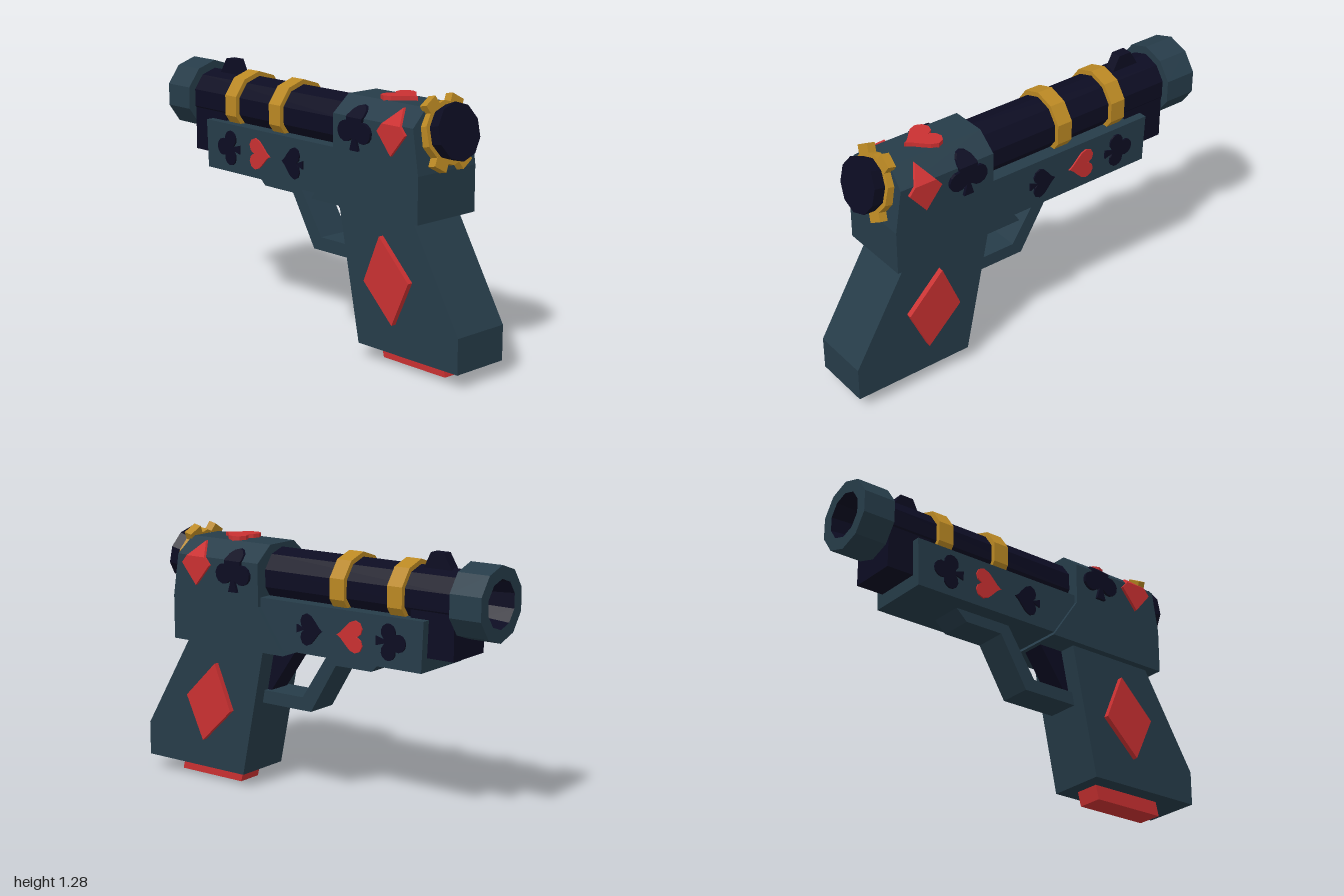
import * as THREE from 'three';

const mat = (name, color) => {
  const m = new THREE.MeshStandardMaterial({ color });
  m.name = name;
  return m;
};

export function createModel() {
  const slate = mat('slate', 0x263c49), navy = mat('navy', 0x0c0c22);
  const red = mat('red', 0xc93031), gold = mat('gold', 0xba8823);
  const model = new THREE.Group();
  model.name = 'toyPistol';

  // Adds a faceted mesh
  const add = (name, geo, material, parent = model) => {
    const g = geo.index ? geo.toNonIndexed() : geo;
    g.computeVertexNormals();
    const mesh = new THREE.Mesh(g, material);
    mesh.name = name;
    parent.add(mesh);
    return mesh;
  };
  const extrude = (pts, depth) => new THREE.ExtrudeGeometry(
    new THREE.Shape(pts.map(p => new THREE.Vector2(p[0], p[1]))), { depth, bevelEnabled: false });
  // Side profile in (z, y), centred across x
  const slab = (name, pts, halfWidth, material) =>
    add(name, extrude(pts, halfWidth * 2).rotateY(-Math.PI / 2).translate(halfWidth, 0, 0), material);
  // Ten-sided cylinder along z
  const rod = (rBack, rFront, z0, z1, y = 0) =>
    new THREE.CylinderGeometry(rBack, rFront, z1 - z0, 10).rotateX(Math.PI / 2).translate(0, y, (z0 + z1) / 2);

  // Grip and magazine base
  slab('grip', [[0.71, 0.73], [1, 0.24], [1, 0.07], [0.375, 0.07], [0.24, 0.73]], 0.15, slate);
  slab('magazineBase', [[0.83, 0.08], [0.85, 0], [0.46, 0], [0.44, 0.08]], 0.066, red);

  // Receiver: lower block and chamfered upper block with a sloping back
  slab('receiverLower', [[0.78, 0.72], [0.78, 0.94], [0.24, 0.94], [0.09, 0.72]], 0.187, slate);
  const BEND = 1.15, SLOPE = 1.2;
  const upper = extrude([[-0.187, 0.94], [0.187, 0.94], [0.187, BEND], [0.09, 1.23], [-0.09, 1.23], [-0.187, BEND]], 0.54)
    .translate(0, 0, 0.24);
  const up = upper.attributes.position;
  for (let i = 0; i < up.count; i++)
    if (up.getZ(i) > 0.5) up.setZ(i, 0.78 - (up.getY(i) - 0.94) * 0.16);
  add('receiverUpper', upper, slate);

  // Frame rail, trigger guard and trigger
  slab('frameRail', [[0.24, 0.745], [0.24, 0.985], [-0.7, 0.985], [-0.69, 0.745]], 0.167, slate);
  slab('triggerGuard', [[0.32, 0.505], [0.05, 0.505], [-0.11, 0.75], [-0.42, 0.75], [-0.355, 0.69],
    [-0.15, 0.69], [0, 0.44], [0.32, 0.44]], 0.085, slate);
  slab('trigger', [[0.25, 0.73], [0.105, 0.73], [0.265, 0.5], [0.3, 0.5]], 0.06, navy);

  // Barrel, its front block, sight and bands
  const AXIS = 1.073;
  add('barrel', rod(0.137, 0.137, -0.85, 0.25, AXIS), navy);
  slab('barrelBlock', [[-0.6, 0.81], [-0.6, 1.07], [-0.835, 1.07], [-0.835, 0.81]], 0.125, navy);
  slab('frontSight', [[-0.6, 1.195], [-0.64, 1.275], [-0.71, 1.275], [-0.758, 1.195]], 0.027, navy);
  for (const z of [-0.205, -0.53]) add('barrelBand', rod(0.161, 0.161, z - 0.041, z + 0.041, AXIS), gold);

  // Hollow muzzle
  const lathe = pts => new THREE.LatheGeometry(pts.map(p => new THREE.Vector2(...p)), 10)
    .rotateX(-Math.PI / 2).translate(0, AXIS, 0);
  add('muzzle', lathe([[0, 0.835], [0.177, 0.835], [0.177, 1], [0.115, 1]]), slate);
  add('muzzleBore', lathe([[0.115, 1], [0.1, 0.87], [0, 0.87]]), navy);

  // Tilted rear cap with a toothed collar
  const cap = new THREE.Group();
  cap.name = 'rearCap';
  cap.position.set(0, 1.11, 0.77);
  cap.rotation.x = -0.215;
  model.add(cap);
  add('collar', rod(0.146, 0.146, -0.02, 0.02), gold, cap);
  for (const deg of [60, 120, 240, 300])
    add('collarTooth', new THREE.BoxGeometry(0.06, 0.075, 0.042).translate(0.147, 0, 0)
      .rotateZ(deg * Math.PI / 180), gold, cap);
  add('capKnob', rod(0.134, 0.124, 0.015, 0.082), navy, cap);

  // Unit card-suit outlines
  const arc = (cx, cy, r, a0, a1, n = 8) => Array.from({ length: n + 1 }, (_, i) => {
    const a = (a0 + (a1 - a0) * i / n) * Math.PI / 180;
    return [cx + r * Math.cos(a), cy + r * Math.sin(a)];
  });
  const diamond = [[0, 0.5], [-0.5, 0], [0, -0.5], [0.5, 0]];
  const club = [[0.13, -0.5], [0.05, -0.22], ...arc(0.27, -0.08, 0.24, -140, 99),
    ...arc(0, 0.25, 0.25, -22, 202), ...arc(-0.27, -0.08, 0.24, 81, 320), [-0.05, -0.22], [-0.13, -0.5]];
  const heart = Array.from({ length: 20 }, (_, i) => {
    const t = i / 20 * Math.PI * 2;
    return [Math.sin(t) ** 3 / 2,
      (13 * Math.cos(t) - 5 * Math.cos(2 * t) - 2 * Math.cos(3 * t) - Math.cos(4 * t) + 2.5) / 29];
  });
  const spade = [...heart.slice(1).map(([x, y]) => [x, 0.075 - y * 0.85]), [-0.13, -0.5], [0.13, -0.5]];

  const place = (pts, z, y, w, h, turned) => pts.map(([a, b]) =>
    turned ? [z - b * h, y + a * w] : [z + a * w, y + b * h]);
  // Keeps the part of an outline above (side 1) or below (side -1) the chamfer line
  const clip = (pts, side) => pts.flatMap((p, i) => {
    const q = pts[(i + 1) % pts.length], dp = (p[1] - BEND) * side, dq = (q[1] - BEND) * side;
    const out = dp >= 0 ? [p] : [];
    if (dp * dq < 0) out.push([p[0] + (q[0] - p[0]) * dp / (dp - dq), BEND]);
    return out;
  });
  // Raised plate on both flanks, folded over the chamfer where it is high enough
  const emblem = (name, pts, outer, depth, material) => {
    for (const offset of [outer, depth - outer]) {
      const g = extrude(pts, depth).rotateY(-Math.PI / 2).translate(offset, 0, 0);
      const p = g.attributes.position;
      for (let i = 0; i < p.count; i++) {
        const rise = p.getY(i) - BEND;
        if (rise > 0) p.setX(i, p.getX(i) - Math.sign(p.getX(i)) * rise * SLOPE);
      }
      add(name, g, material);
    }
  };

  // Emblems on grip, receiver and rail
  emblem('gripDiamond', [[0.53, 0.62], [0.433, 0.39], [0.615, 0.215], [0.717, 0.435]], 0.177, 0.035, red);
  for (const side of [1, -1]) {
    emblem('receiverDiamond', clip(place(diamond, 0.622, 1.113, 0.175, 0.21), side), 0.202, 0.03, red);
    emblem('receiverClub', clip(place(club, 0.388, 1.1, 0.205, 0.205), side), 0.202, 0.03, navy);
  }
  emblem('railSpade', place(spade, -0.06, 0.865, 0.155, 0.15, true), 0.175, 0.02, navy);
  emblem('railHeart', place(heart, -0.292, 0.867, 0.155, 0.148, true), 0.175, 0.02, red);
  emblem('railClub', place(club, -0.525, 0.867, 0.17, 0.165, true), 0.175, 0.02, navy);
  add('topHeart', extrude(heart.map(([x, y]) => [x * 0.19, y * 0.17 - 0.51]), 0.04)
    .rotateX(-Math.PI / 2).translate(0, 1.21, 0), red);

  return model;
}
